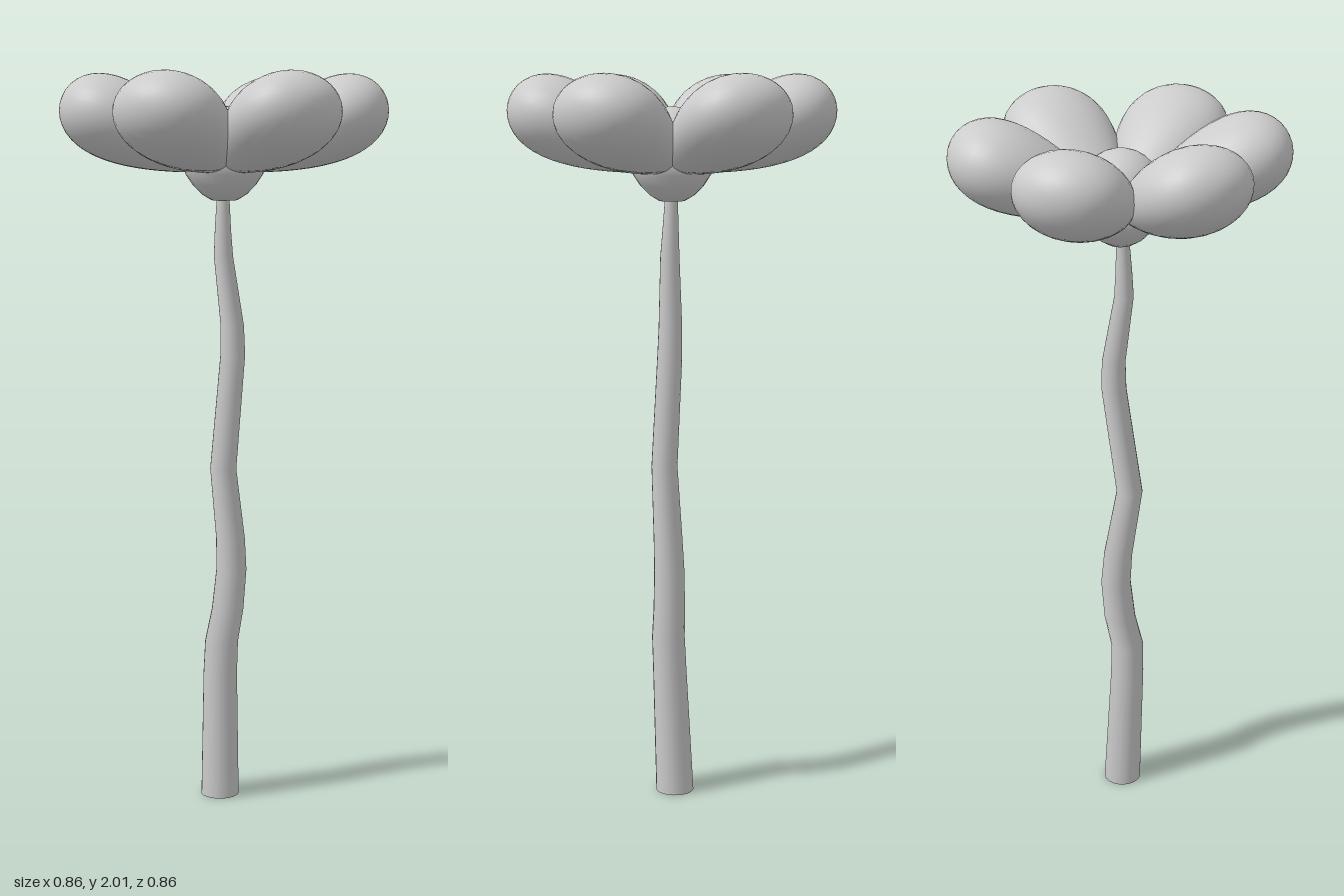
import * as THREE from 'three';
import { mergeVertices } from 'three/addons/utils/BufferGeometryUtils.js';

const material = new THREE.MeshStandardMaterial({ color: 0xcccccc });
const openMaterial = new THREE.MeshStandardMaterial({ color: 0xcccccc, side: THREE.DoubleSide });

// Stem rings from the ground up: [x, y, z, radius]
const STEM = [
  [-0.007, 0, -0.01, 0.053],
  [-0.019, 0.36, 0.002, 0.047],
  [-0.018, 0.45, 0.006, 0.046],
  [0.004, 0.54, 0.009, 0.044],
  [0.016, 0.65, 0.012, 0.042],
  [0.01, 0.74, 0.014, 0.04],
  [-0.022, 0.94, 0.016, 0.036],
  [0.021, 1.25, 0.012, 0.034],
  [0.021, 1.33, 0.01, 0.032],
  [-0.008, 1.52, 0.004, 0.026],
  [-0.008, 1.59, 0.002, 0.022],
  [-0.005, 1.7, 0, 0.016],
];

// Petals differ a little in their spacing (degrees)
const PETAL_ANGLES = [17.5, 78, 137, 195.5, 253, 314.5];

// Unit tube whose rings are moved and scaled to follow the crooked stem
function stemGeometry() {
  const n = STEM.length - 1;
  const geometry = new THREE.CylinderGeometry(1, 1, n, 20, n, true);
  const p = geometry.attributes.position;
  for (let i = 0; i < p.count; i++) {
    const [x, y, z, r] = STEM[Math.round(p.getY(i) + n / 2)];
    p.setXYZ(i, x + r * p.getX(i), y, z + r * p.getZ(i));
  }
  return geometry;
}

// Egg-shaped petal lying along x, broader towards its outer end
function petalGeometry(length, width, thickness, taper) {
  let geometry = new THREE.SphereGeometry(1, 32, 24).rotateZ(-Math.PI / 2);
  const p = geometry.attributes.position;
  for (let i = 0; i < p.count; i++) {
    const u = p.getX(i);
    const swell = 1 + taper * u;
    p.setXYZ(i, u * length, p.getY(i) * thickness * swell, p.getZ(i) * width * swell);
  }
  geometry.deleteAttribute('uv');
  geometry.deleteAttribute('normal');
  geometry = mergeVertices(geometry, 1e-5);
  geometry.computeVertexNormals();
  return geometry;
}

export function createModel() {
  const flower = new THREE.Group();
  flower.name = 'flower';

  const stem = new THREE.Mesh(stemGeometry(), openMaterial);
  stem.name = 'stem';
  flower.add(stem);

  // Round heart of the blossom
  const heart = new THREE.Mesh(new THREE.SphereGeometry(0.108, 20, 14), material);
  heart.name = 'flowerCentre';
  heart.position.y = 1.812;
  flower.add(heart);

  // Small cup that joins the petals to the stem
  const cupProfile = [
    [0, 1.668], [0.035, 1.67], [0.06, 1.685], [0.085, 1.71], [0.105, 1.74], [0.112, 1.77], [0.1, 1.8],
  ].map(([r, y]) => new THREE.Vector2(r, y));
  const cup = new THREE.Mesh(new THREE.LatheGeometry(cupProfile, 24), openMaterial);
  cup.name = 'calyx';
  flower.add(cup);

  // Ring of six raised petals
  const petals = new THREE.Group();
  petals.name = 'petals';
  const geometry = petalGeometry(0.23, 0.134, 0.1, 0.5);
  PETAL_ANGLES.forEach((angle, i) => {
    const arm = new THREE.Group();
    arm.name = `petal${i + 1}`;
    arm.rotation.y = THREE.MathUtils.degToRad(angle);
    const petal = new THREE.Mesh(geometry, material);
    petal.name = 'petalBlade';
    petal.position.set(0.222, 1.852, 0);
    petal.rotation.z = THREE.MathUtils.degToRad(24);
    arm.add(petal);
    petals.add(arm);
  });
  flower.add(petals);

  return flower;
}
